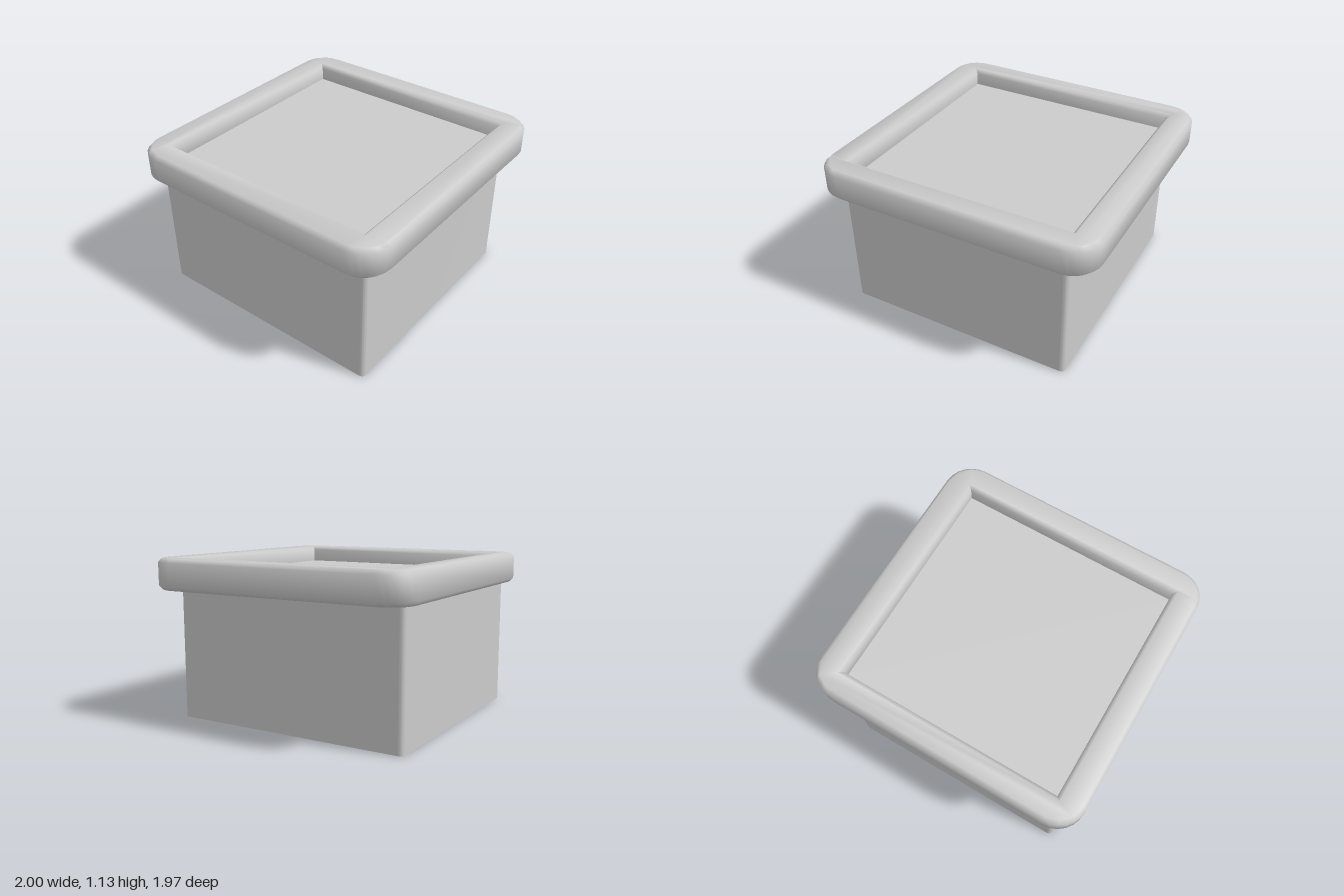
import * as THREE from 'three';
import { toCreasedNormals } from 'three/addons/utils/BufferGeometryUtils.js';

// Rectangle with rounded corners, x0..x1 by y0..y1 (shape y becomes -z once laid flat)
function roundedRect(target, x0, x1, y0, y1, r) {
  target.absarc(x1 - r, y0 + r, r, -Math.PI / 2, 0);
  target.absarc(x1 - r, y1 - r, r, 0, Math.PI / 2);
  target.absarc(x0 + r, y1 - r, r, Math.PI / 2, Math.PI);
  target.absarc(x0 + r, y0 + r, r, Math.PI, Math.PI * 1.5);
  target.closePath();
  return target;
}

// Plain rectangular hole
function rectHole(x0, x1, y0, y1) {
  return new THREE.Path([[x0, y0], [x0, y1], [x1, y1], [x1, y0], [x0, y0]].map(([x, y]) => new THREE.Vector2(x, y)));
}

export function createModel() {
  const group = new THREE.Group();
  const material = new THREE.MeshStandardMaterial({ color: 0xcccccc });
  const sheet = new THREE.MeshStandardMaterial({ color: 0xcccccc, side: THREE.DoubleSide });
  const add = (name, geometry, mat) => {
    const mesh = new THREE.Mesh(geometry, mat);
    mesh.name = name;
    group.add(mesh);
    return mesh;
  };

  // Rim: thick bevelled frame with rounded outer corners and a square opening
  const bevel = 0.027, rimBottom = 0.92, rimTop = 1.135;
  const frame = roundedRect(new THREE.Shape(), -1, 1, -0.985, 0.985, 0.2);
  frame.holes.push(rectHole(-0.805, 0.805, -0.795, 0.805));
  const rim = new THREE.ExtrudeGeometry(frame, {
    depth: rimTop - rimBottom - 2 * bevel, curveSegments: 3,
    bevelSize: bevel, bevelThickness: bevel, bevelOffset: -bevel, bevelSegments: 1,
  });
  rim.rotateX(-Math.PI / 2).translate(0, rimBottom + bevel, 0);
  add('rim', toCreasedNormals(rim, 0.9), material);

  // Recessed panel closing the opening
  const panel = new THREE.PlaneGeometry(1.62, 1.61).rotateX(-Math.PI / 2);
  add('recessedPanel', panel, sheet).position.set(0, 1.015, -0.005);

  // Body: thin four-sided skirt, open at the bottom and set slightly off centre
  const outline = roundedRect(new THREE.Path(), -0.865, 0.81, -0.85, 0.89, 0.035).getPoints(4);
  const height = 0.93, positions = [], index = [];
  outline.forEach((p, i) => {
    positions.push(p.x, 0, -p.y, p.x, height, -p.y);
    if (i < outline.length - 1) {
      const a = 2 * i;
      index.push(a, a + 2, a + 3, a, a + 3, a + 1);
    }
  });
  const body = new THREE.BufferGeometry();
  body.setAttribute('position', new THREE.Float32BufferAttribute(positions, 3));
  body.setIndex(index);
  add('body', toCreasedNormals(body, 0.6), sheet);

  return group;
}
